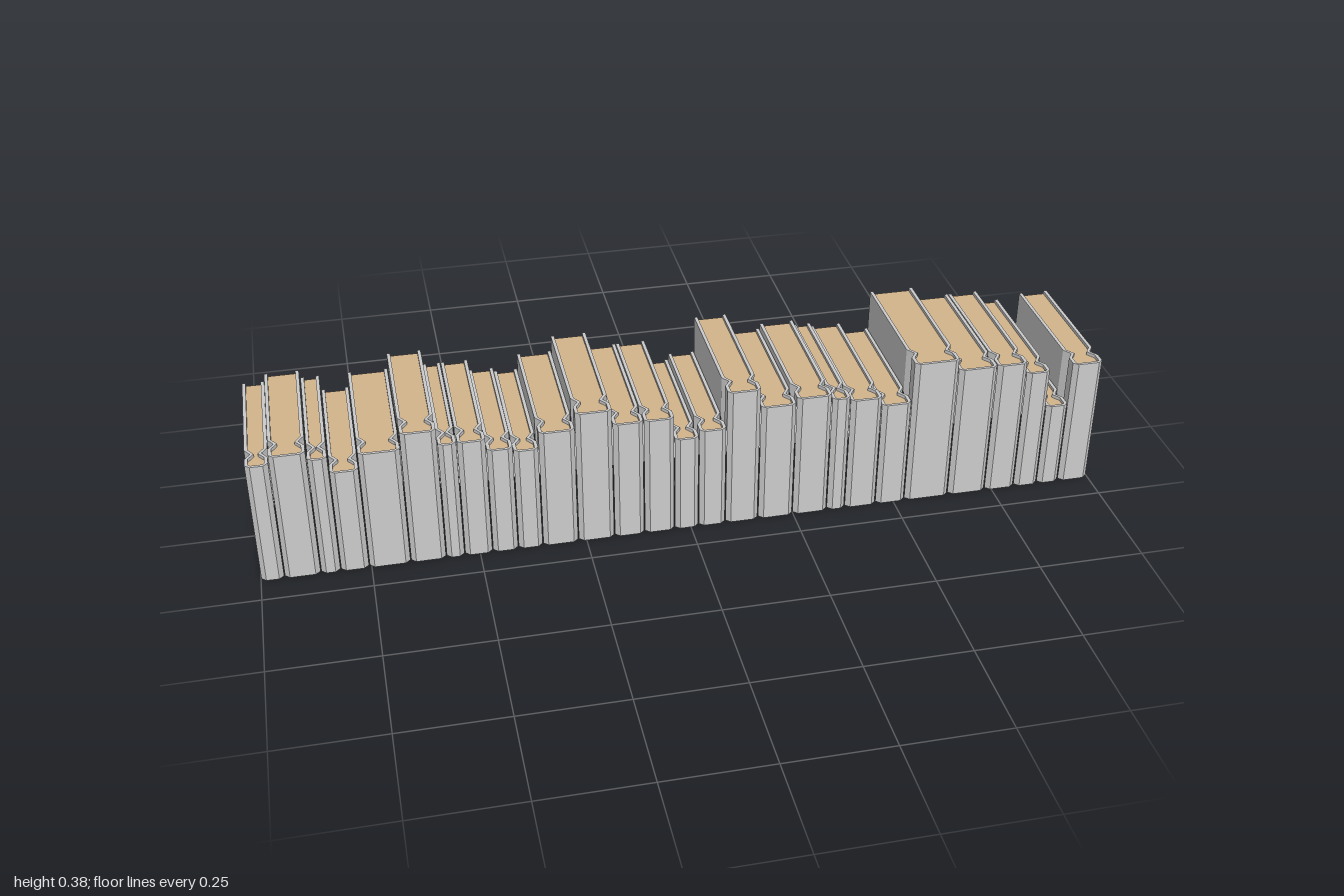
import * as THREE from 'three';

const FRONT = 0.18, BEND = 0.17, BACK = -0.18; // depth of the panel face, its folded edge, the tray end
const THICK = 0.008, CHAMFER = 0.011;
const LIP = 0.014, POST_BOTTOM = 0.178;
const KINK = [[0.145, 0], [0.127, 0.013], [0.108, 0]]; // z, inward offset of the side fold

// Unit boundaries along x and the height of each unit between them
const EDGES = [-1, -0.947, -0.865, -0.82, -0.755, -0.66, -0.578, -0.535, -0.47, -0.41, -0.352, -0.268,
  -0.182, -0.11, -0.038, 0.02, 0.085, 0.165, 0.25, 0.335, 0.38, 0.457, 0.53, 0.64, 0.735, 0.81, 0.87, 0.925, 1];
const TOPS = [0.31, 0.33, 0.31, 0.27, 0.31, 0.35, 0.31, 0.31, 0.28, 0.27, 0.31, 0.35, 0.31, 0.31,
  0.25, 0.265, 0.36, 0.31, 0.323, 0.31, 0.30, 0.277, 0.38, 0.35, 0.35, 0.32, 0.22, 0.33];

const grey = new THREE.MeshStandardMaterial({ color: 0xcccccc, flatShading: true });
const tan = new THREE.MeshStandardMaterial({ color: 0xd2b48c, flatShading: true });

// Raises a plan outline of [x, z] points from y0 to y1
function prism(name, plan, y0, y1, material) {
  const shape = new THREE.Shape(plan.map(([x, z]) => new THREE.Vector2(x, -z)));
  const geo = new THREE.ExtrudeGeometry(shape, { depth: y1 - y0, bevelEnabled: false });
  geo.rotateX(-Math.PI / 2);
  const mesh = new THREE.Mesh(geo, material);
  mesh.name = name;
  mesh.position.y = y0;
  return mesh;
}

// Half outline running front to back, then its mirror running back to front
const mirrored = (half) => [...half, ...half.slice().reverse().map(([x, z]) => [-x, z])];

// Band of the sheet thickness following a side line, on the side given by sign
function sideBand(w, line, sign) {
  const outer = line.map(([z, d]) => [sign * (w - d), z]);
  const inner = line.map(([z, d]) => [sign * (w - d - THICK), z]).reverse();
  return [...outer, ...inner];
}

function createUnit(width, top, leftTop, rightTop) {
  const unit = new THREE.Group();
  const w = width / 2 - 0.001;

  // Front panel: a thin sheet with folded, chamfered edges
  const outer = [[-w, BEND], [-w + CHAMFER, FRONT], [w - CHAMFER, FRONT], [w, BEND]];
  const inner = [[w - THICK, BEND], [w - CHAMFER - 0.002, BEND + 0.003],
    [-w + CHAMFER + 0.002, BEND + 0.003], [-w + THICK, BEND]];
  unit.add(prism('frontPanel', [...outer, ...inner], 0, top, grey));

  // Side walls reach down to the tray of a lower neighbour; folded posts hang below them
  for (const [sign, next] of [[1, leftTop], [-1, rightTop]]) {
    const bottom = Math.min(top, next) - LIP;
    unit.add(prism('sideWall', sideBand(w, [[BEND, 0], ...KINK, [BACK, 0]], sign), bottom, top, grey));
    unit.add(prism('post', sideBand(w, KINK, sign), POST_BOTTOM, bottom, grey));
  }

  // Tray floor, notched around the folds
  const t = w - THICK;
  const half = [[t - 0.005, BEND + 0.003], [t, BEND], ...KINK.map(([z, d]) => [t - d, z]), [t, BACK]];
  unit.add(prism('trayFloor', mirrored(half), top - LIP, top - LIP + 0.006, tan));
  return unit;
}

export function createModel() {
  const model = new THREE.Group();
  model.name = 'steppedPanelRow';
  TOPS.forEach((top, i) => {
    const unit = createUnit(EDGES[i + 1] - EDGES[i], top, TOPS[i + 1] ?? top, TOPS[i - 1] ?? top);
    unit.name = `panelUnit${i + 1}`;
    unit.position.x = (EDGES[i] + EDGES[i + 1]) / 2;
    model.add(unit);
  });
  return model;
}
